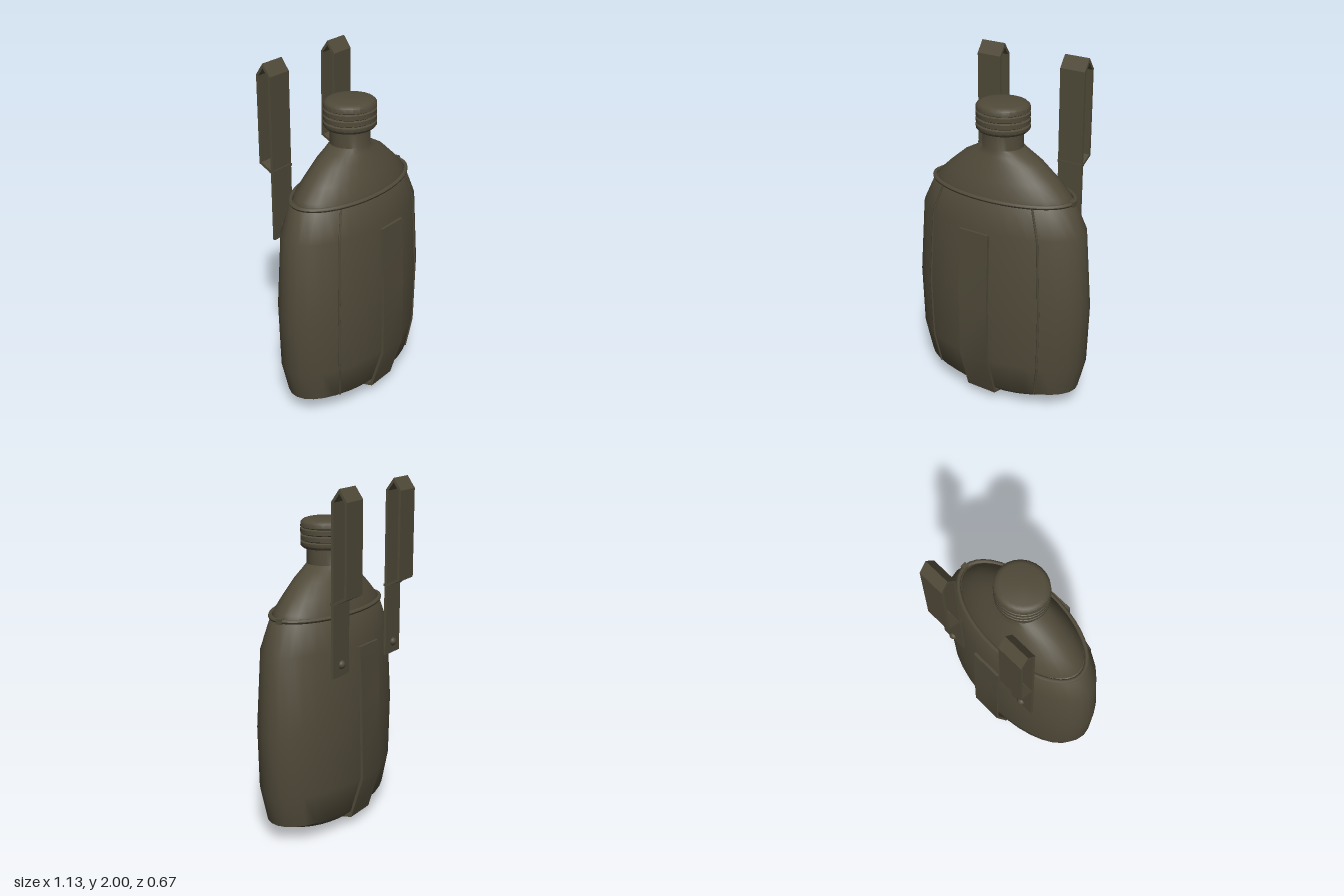
import * as THREE from 'three';
import { toCreasedNormals } from 'three/addons/utils/BufferGeometryUtils.js';

const CZ = 0.02; // bottle axis

// Elliptical loft: rings are [y, radius across x, radius along z]
function loft(rings, segments) {
  const geo = new THREE.LatheGeometry(rings.map(([y, rx]) => new THREE.Vector2(rx, y)), segments);
  const pos = geo.attributes.position;
  for (let i = 0; i < pos.count; i++) {
    const [, rx, rz] = rings[i % rings.length];
    pos.setZ(i, (rx ? pos.getZ(i) * rz / rx : 0) + CZ);
  }
  return toCreasedNormals(geo, 0.75);
}

// Flat band of thickness t following [z, y] points, extruded across x
function band(path, width, t) {
  const pts = path.map(p => new THREE.Vector2(...p));
  const side = sign => pts.map((p, i) => {
    const a = p.clone().sub(pts[Math.max(i - 1, 0)]).normalize();
    const b = pts[Math.min(i + 1, pts.length - 1)].clone().sub(p).normalize();
    const dir = a.clone().add(b).normalize();
    const cos = Math.max(dir.dot(a), dir.dot(b));
    return new THREE.Vector2(-dir.y, dir.x).multiplyScalar(sign * t / 2 / cos).add(p);
  });
  const shape = new THREE.Shape([...side(1), ...side(-1).reverse()]);
  const geo = new THREE.ExtrudeGeometry(shape, { depth: width, bevelEnabled: false });
  geo.rotateY(-Math.PI / 2).translate(width / 2, 0, 0);
  return toCreasedNormals(geo, 0.6);
}

export function createModel() {
  const model = new THREE.Group();
  model.name = 'canteen';
  const olive = new THREE.MeshStandardMaterial({ color: 0x504a39 });
  olive.name = 'olive drab';
  const add = (name, geo, parent = model) => {
    const mesh = new THREE.Mesh(geo, olive);
    mesh.name = name;
    parent.add(mesh);
    return mesh;
  };

  // Fabric cover
  const cover = [
    [0.055, 0, 0], [0.055, 0.37, 0.19], [0.11, 0.505, 0.24], [0.3, 0.553, 0.272],
    [0.66, 0.565, 0.276], [1.11, 0.53, 0.258], [1.275, 0.45, 0.218], [1.285, 0.43, 0.21],
  ];
  add('cover', loft(cover, 32));

  // Bottle shoulder and neck
  add('bottle', loft([
    [1.27, 0.435, 0.215], [1.31, 0.42, 0.207], [1.38, 0.345, 0.178], [1.46, 0.25, 0.143],
    [1.5, 0.175, 0.122], [1.53, 0.118, 0.11], [1.64, 0.116, 0.11],
  ], 32));

  // Screw cap with grip ridges
  const cap = [[1.62, 0], [1.62, 0.14], [1.635, 0.154]];
  for (let i = 0; i < 3; i++) {
    const y = 1.66 + i * 0.036;
    cap.push([y - 0.006, 0.154], [y, 0.143], [y + 0.006, 0.154]);
  }
  cap.push([1.762, 0.152], [1.775, 0.138], [1.78, 0.12], [1.78, 0]);
  add('cap', loft(cap.map(([y, r]) => [y, r, r * 0.94]), 24));

  // Corded rim around the mouth of the cover
  const rim = new THREE.TorusGeometry(1, 0.013, 8, 40).rotateX(Math.PI / 2);
  const p = rim.attributes.position;
  for (let i = 0; i < p.count; i++) {
    const x = p.getX(i), z = p.getZ(i), r = Math.hypot(x, z);
    p.setXYZ(i, x / r * (0.45 + r - 1), p.getY(i) + 1.284, z / r * (0.22 + r - 1) + CZ);
  }
  rim.computeVertexNormals();
  add('coverRim', rim);
  add('rimJoint', new THREE.BoxGeometry(0.03, 0.03, 0.035).translate(0.452, 1.284, CZ));

  // Front seams
  for (const s of [-1, 1]) {
    const path = new THREE.CurvePath();
    const pts = cover.slice(2, 7).map(([y, rx, rz]) =>
      new THREE.Vector3(s * rx * 0.66, y, CZ + rz * 0.751));
    for (let i = 1; i < pts.length; i++) path.add(new THREE.LineCurve3(pts[i - 1], pts[i]));
    add(s > 0 ? 'leftSeam' : 'rightSeam', new THREE.TubeGeometry(path, 32, 0.007, 5));
  }

  // Carrying strap wrapped under the base
  add('strap', band([
    [0.308, 1.11], [0.326, 0.7], [0.328, 0.32], [0.25, 0.068], [0.02, 0.012],
    [-0.208, 0.068], [-0.284, 0.32], [-0.272, 0.8], [-0.258, 1.1],
  ], 0.19, 0.016));

  // Belt hangers: plate, folded loop, crossbar and rivet
  const hanger = band([
    [-0.25, 0.98], [-0.25, 1.93], [-0.291, 1.987], [-0.331, 1.93], [-0.331, 1.43], [-0.264, 1.397],
  ], 0.155, 0.015);
  for (const s of [-1, 1]) {
    const group = new THREE.Group();
    group.name = s > 0 ? 'leftHanger' : 'rightHanger';
    group.position.x = s * 0.275;
    model.add(group);
    add('hangerLoop', hanger, group);
    add('hangerCrossbar', new THREE.BoxGeometry(0.157, 0.014, 0.03).translate(0, 1.393, -0.252), group);
    const rivet = add('rivet', new THREE.SphereGeometry(0.024, 14, 10), group);
    rivet.position.set(0, 1.045, -0.258);
    rivet.scale.z = 0.9;
  }
  return model;
}
